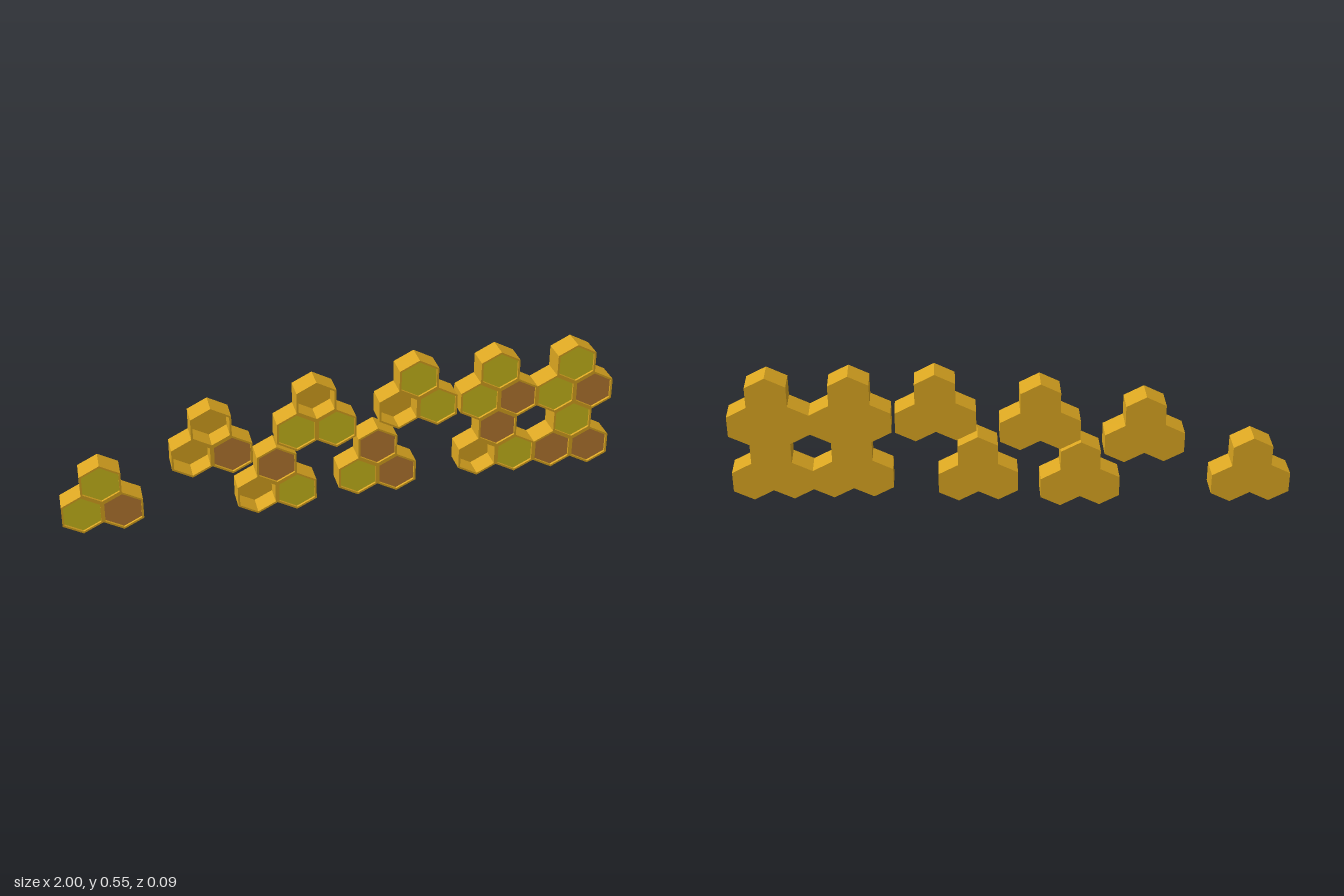
import * as THREE from 'three';

// Hexagon cell: half width, half side height, apex height, row spacing
const W = 0.0712, S = 0.0382, T = 0.0748, ROW = S + T;
const BACK = -0.045, FLOOR = -0.036, FILL = 0.036, FRONT = 0.045;
const INSET = 0.9; // cell opening relative to the full hexagon

const mat = (color) => new THREE.MeshStandardMaterial({ color, flatShading: true });

const hexPoints = (cx, cy, k = 1) =>
  [[W, -S], [W, S], [0, T], [-W, S], [-W, -S], [0, -T]]
    .map(([x, y]) => new THREE.Vector2(cx + x * k, cy + y * k));

// Outline of three joined hexagons: two below, one on top
const clusterPoints = () => [
  [-2 * W, -S], [-W, -T], [0, -S], [W, -T], [2 * W, -S], [2 * W, S],
  [W, T], [W, ROW + S], [0, ROW + T], [-W, ROW + S], [-W, T], [-2 * W, S],
].map(([x, y]) => new THREE.Vector2(x, y));

// Straight prism between two depths
function prism(shape, z0, z1, material, name) {
  const geo = new THREE.ExtrudeGeometry(shape, { depth: z1 - z0, bevelEnabled: false });
  geo.translate(0, 0, z0);
  const mesh = new THREE.Mesh(geo, material);
  mesh.name = name;
  return mesh;
}

// Cell centres in order: top, left, right
const CELLS = [['top', 0, ROW], ['left', -W, 0], ['right', W, 0]];

// x, y of the lower row, then contents of top, left, right cell:
// h = honey, p = pollen, e = empty
const CLUSTERS = [
  [-0.8576, 0.075, 'hhp'],
  [-0.465, 0.253, 'eep'],
  [-0.093, 0.314, 'ehh'],
  [-0.238, 0.077, 'peh'],
  [0.128, 0.109, 'php'],
  [0.275, 0.361, 'heh'],
  [0.573, 0.136, 'peh'],
  [0.573, 0.136 + 2 * ROW, 'hhp'],
  [0.8576, 0.136, 'hpp'],
  [0.8576, 0.136 + 2 * ROW, 'hhp'],
];

export function createModel() {
  const model = new THREE.Group();
  model.name = 'honeycombClusters';
  const wax = mat(0xdaa520);
  const fills = { h: mat(0xccbc1c), p: mat(0xb87a32) };

  CLUSTERS.forEach(([x, y, contents], n) => {
    const cluster = new THREE.Group();
    cluster.name = `cluster${n + 1}`;
    cluster.position.set(x, y, 0);

    // Cell walls, open to the front
    const walls = new THREE.Shape(clusterPoints());
    CELLS.forEach(([, cx, cy]) => walls.holes.push(new THREE.Path(hexPoints(cx, cy, INSET))));
    cluster.add(prism(walls, FLOOR, FRONT, wax, 'cellWalls'));

    // Closed back
    cluster.add(prism(new THREE.Shape(clusterPoints()), BACK, FLOOR, wax, 'backPlate'));

    // Cell contents, slightly below the rim
    CELLS.forEach(([side, cx, cy], i) => {
      const fill = fills[contents[i]];
      if (fill) {
        cluster.add(prism(new THREE.Shape(hexPoints(cx, cy, INSET)), FLOOR, FILL, fill, `${side}CellFilling`));
      }
    });
    model.add(cluster);
  });
  return model;
}
